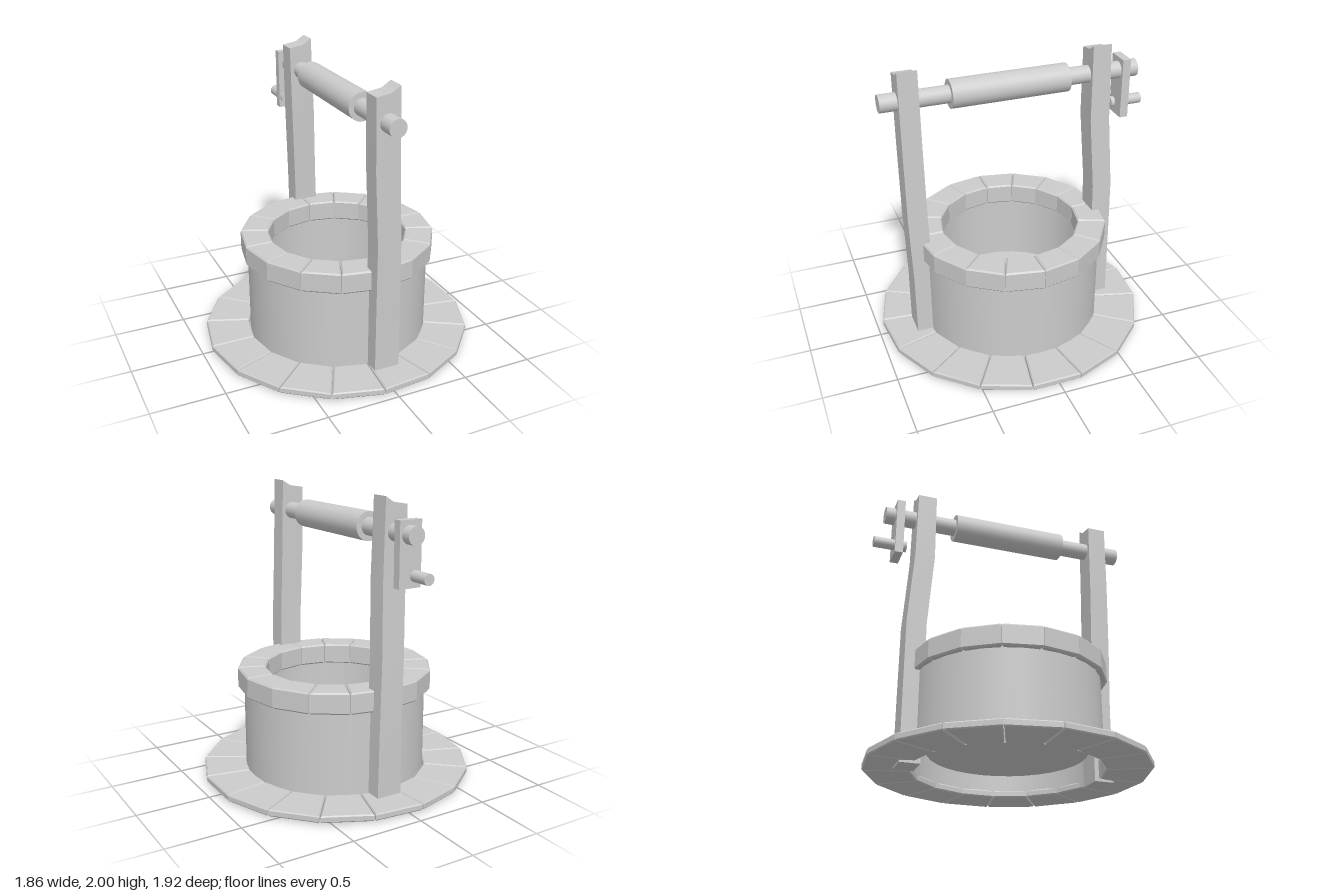
import * as THREE from 'three';

const smooth = new THREE.MeshStandardMaterial({ color: 0xcccccc });
const faceted = new THREE.MeshStandardMaterial({ color: 0xcccccc, flatShading: true });
const thin = new THREE.MeshStandardMaterial({ color: 0xcccccc, side: THREE.DoubleSide });

function part(name, geometry, material, x = 0, y = 0, z = 0) {
  const mesh = new THREE.Mesh(geometry, material);
  mesh.name = name;
  mesh.position.set(x, y, z);
  return mesh;
}

// Ring of bevelled wedge stones standing on y0; first stone is centred on angle `start`
function stoneRing(name, { count, start, inner, outer, y0, height, gap, bevel }) {
  const ring = new THREE.Group();
  ring.name = name;
  const half = Math.PI / count;
  const corner = (r, side) => {
    const a = side * (half - gap / 2 / r);
    return new THREE.Vector2(r * Math.cos(a), r * Math.sin(a));
  };
  const shape = new THREE.Shape([corner(inner, -1), corner(outer, -1), corner(outer, 1), corner(inner, 1)]);
  const geometry = new THREE.ExtrudeGeometry(shape, {
    depth: height - 2 * bevel, bevelEnabled: true, bevelSegments: 1,
    bevelSize: bevel, bevelThickness: bevel, bevelOffset: -bevel,
  });
  geometry.rotateX(-Math.PI / 2).translate(0, bevel, 0);
  for (let i = 0; i < count; i++) {
    const stone = part('stone', geometry, faceted, 0, y0, 0);
    stone.rotation.y = start + i * 2 * half;
    ring.add(stone);
  }
  return ring;
}

// Open upright tube between two heights
function tube(name, radius, y0, y1) {
  const g = new THREE.CylinderGeometry(radius, radius, y1 - y0, 32, 1, true);
  return part(name, g, thin, 0.008, (y0 + y1) / 2, 0);
}

// Bent timber post; each section is [y, xMin, xMax, zMin, zMax], top end is uneven
function postGeometry(sections) {
  const last = sections.length - 1;
  const g = new THREE.BoxGeometry(2, last, 1, 2, last, 1);
  const p = g.attributes.position;
  const topDrop = [0.055, 0.04, 0];
  for (let i = 0; i < p.count; i++) {
    const level = Math.round(p.getY(i) + last / 2);
    const column = Math.round(p.getX(i) + 1);
    const [y, x0, x1, z0, z1] = sections[level];
    const t = [0, 0.62, 1][column];
    const drop = level === last ? topDrop[column] : 0;
    p.setXYZ(i, x0 + (x1 - x0) * t, y - drop, p.getZ(i) > 0 ? z1 : z0);
  }
  g.computeVertexNormals();
  return g;
}

// Cylinder lying along z between two ends
function rod(name, radius, x, y, zFront, zBack) {
  const g = new THREE.CylinderGeometry(radius, radius, zFront - zBack, 32).rotateX(Math.PI / 2);
  return part(name, g, smooth, x, y, (zFront + zBack) / 2);
}

export function createModel() {
  const model = new THREE.Group();
  model.name = 'waterWell';

  // Stonework: paving, outer wall, narrower shaft with a raised floor, and rim
  const masonry = new THREE.Group();
  masonry.name = 'masonry';
  masonry.position.set(0.005, 0, 0.025);
  const rim = stoneRing('rim', { count: 16, start: Math.PI / 16, inner: 0.48, outer: 0.674, y0: 0.63, height: 0.145, gap: 0.003, bevel: 0.01 });
  rim.position.x = 0.007;
  masonry.add(
    stoneRing('paving', { count: 17, start: 0, inner: 0.635, outer: 0.94, y0: 0.018, height: 0.047, gap: 0.006, bevel: 0.008 }),
    tube('outerWall', 0.631, 0.025, 0.645),
    tube('shaftWall', 0.53, 0.145, 0.645),
    part('shaftFloor', new THREE.CircleGeometry(0.53, 32).rotateX(-Math.PI / 2), thin, 0.008, 0.145, 0),
    rim,
  );
  model.add(masonry);

  // Posts
  model.add(
    part('frontPost', postGeometry([
      [0.005, -0.05, 0.128, 0.62, 0.755],
      [0.5, -0.05, 0.12, 0.622, 0.756],
      [0.97, -0.056, 0.108, 0.635, 0.77],
      [1.47, -0.08, 0.088, 0.638, 0.77],
      [2, -0.088, 0.072, 0.64, 0.77],
    ]), smooth),
    part('backPost', postGeometry([
      [0.005, -0.05, 0.128, -0.705, -0.57],
      [0.5, -0.05, 0.12, -0.706, -0.57],
      [0.97, -0.056, 0.108, -0.706, -0.568],
      [1.47, -0.08, 0.088, -0.674, -0.536],
      [2, -0.088, 0.072, -0.67, -0.54],
    ]), smooth),
  );

  // Windlass and crank
  const windlass = new THREE.Group();
  windlass.name = 'windlass';
  windlass.add(
    rod('axle', 0.059, -0.002, 1.782, 0.885, -0.887),
    rod('drum', 0.096, -0.001, 1.782, 0.425, -0.382),
    part('crankArm', new THREE.BoxGeometry(0.16, 0.415, 0.057), faceted, -0.008, 1.664, -0.791),
    rod('crankHandle', 0.037, -0.044, 1.53, -0.735, -0.962),
  );
  model.add(windlass);
  return model;
}
